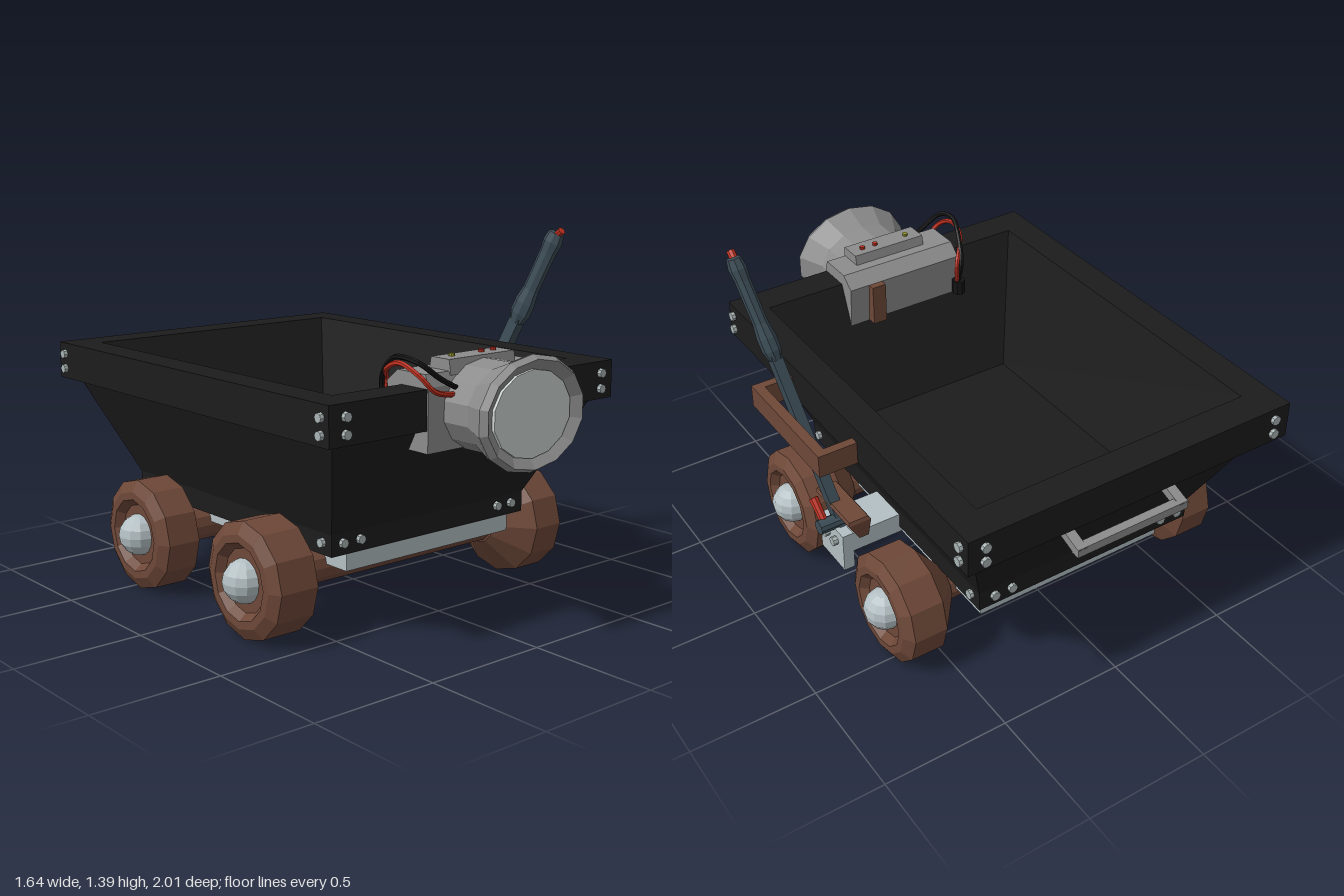
import * as THREE from 'three';

const mat = (color, side = THREE.FrontSide) =>
  new THREE.MeshStandardMaterial({ color, flatShading: true, side });
const BLACK = mat(0x1c1c1c), BROWN = mat(0x6e4838), STEEL = mat(0xb4c0c4), GREY = mat(0x8c8c8c),
  LEVER = mat(0x3c4c56), RED = mat(0xc03020), LENS = mat(0xccd4d0), GREEN = mat(0x9a9a30),
  DARK = mat(0x141414), BOLT = mat(0xaab4b4);

export function createModel() {
  const model = new THREE.Group();

  const add = (name, geo, material, x = 0, y = 0, z = 0, parent = model) => {
    const m = new THREE.Mesh(geo, material);
    m.name = name;
    m.position.set(x, y, z);
    parent.add(m);
    return m;
  };
  // box given by its limits on each axis
  const box = (name, material, x0, x1, y0, y1, z0, z1) =>
    add(name, new THREE.BoxGeometry(x1 - x0, y1 - y0, z1 - z0), material,
      (x0 + x1) / 2, (y0 + y1) / 2, (z0 + z1) / 2);
  // aligns a mesh built along y with the line a-b, starting at a
  const along = (name, geo, material, a, b) => {
    const m = add(name, geo, material, ...a);
    const dir = new THREE.Vector3(...b).sub(m.position).normalize();
    m.quaternion.setFromUnitVectors(new THREE.Vector3(0, 1, 0), dir);
    return m;
  };
  const dist = (a, b) => new THREE.Vector3(...a).distanceTo(new THREE.Vector3(...b));
  const beam = (name, material, a, b, w, d) => {
    const h = dist(a, b);
    return along(name, new THREE.BoxGeometry(w, h, d).translate(0, h / 2, 0), material, a, b);
  };
  // closed skin through rectangles [y, x0, x1, z0, z1]
  const loft = (rings) => {
    const pos = [], idx = [];
    rings.forEach(([y, x0, x1, z0, z1], i) => {
      pos.push(x0, y, z1, x1, y, z1, x1, y, z0, x0, y, z0);
      if (i === 0) return;
      for (let j = 0; j < 4; j++) {
        const k = (j + 1) % 4, a = (i - 1) * 4, b = i * 4;
        idx.push(a + j, a + k, b + k, a + j, b + k, b + j);
      }
    });
    const t = (rings.length - 1) * 4;
    idx.push(0, 3, 2, 0, 2, 1, t, t + 1, t + 2, t, t + 2, t + 3);
    const g = new THREE.BufferGeometry();
    g.setAttribute('position', new THREE.Float32BufferAttribute(pos, 3));
    g.setIndex(idx);
    const flat = g.toNonIndexed();
    flat.computeVertexNormals();
    return flat;
  };
  const lathe = (pts, sides) =>
    new THREE.LatheGeometry(pts.map((p) => new THREE.Vector2(...p)), sides);

  // hopper: outside up to the rim, then down the inside to the floor
  add('hopper', loft([
    [0.315, -0.52, 0.44, -0.74, 0.5],
    [0.395, -0.52, 0.44, -0.74, 0.5],
    [0.78, -0.68, 0.6, -0.94, 0.7],
    [0.78, -0.735, 0.655, -0.995, 0.75],
    [0.925, -0.735, 0.655, -0.995, 0.75],
    [0.925, -0.615, 0.54, -0.867, 0.62],
    [0.4, -0.457, 0.386, -0.66, 0.417],
  ]), BLACK);

  // bolts on the rim corners and along the lower edges
  const bolt = (x, y, z, axis) => {
    const g = new THREE.CylinderGeometry(0.017, 0.019, 0.03, 8);
    if (axis === 'x') g.rotateZ(Math.PI / 2); else g.rotateX(Math.PI / 2);
    add('bolt', g, BOLT, x, y, z);
  };
  for (const y of [0.82, 0.88]) {
    for (const x of [-0.665, 0.59]) for (const z of [0.75, -0.995]) bolt(x, y, z, 'z');
    for (const z of [0.71, -0.95]) for (const x of [-0.735, 0.655]) bolt(x, y, z, 'x');
  }
  for (const x of [-0.47, -0.39, 0.3, 0.375]) for (const z of [0.5, -0.74]) bolt(x, 0.36, z, 'z');
  for (const z of [0.45, -0.69]) for (const x of [-0.52, 0.44]) bolt(x, 0.36, z, 'x');

  // chassis frame with a sunken panel and hatch
  box('chassisSide', STEEL, -0.42, -0.35, 0.235, 0.316, -0.69, 0.46);
  box('chassisSide', STEEL, 0.33, 0.4, 0.235, 0.316, -0.69, 0.46);
  box('chassisFront', STEEL, -0.35, 0.33, 0.235, 0.316, 0.39, 0.46);
  box('chassisBack', STEEL, -0.35, 0.33, 0.235, 0.316, -0.69, -0.62);
  box('chassisPanel', STEEL, -0.35, 0.33, 0.265, 0.31, -0.62, 0.39);
  box('chassisHatch', STEEL, -0.26, 0.24, 0.25, 0.27, -0.34, 0.16);

  // axles, wheels and hubs
  const wheel = (side, inner, full, shoulder, outer, z) => {
    const g = new THREE.Group();
    g.name = side > 0 ? 'leftWheel' : 'rightWheel';
    g.position.set(0, 0.222, z);
    if (side < 0) g.rotation.y = Math.PI;
    model.add(g);
    const tyre = lathe([[0, inner], [0.08, inner], [0.22, full], [0.22, shoulder], [0.175, outer],
      [0.145, outer], [0.12, outer - 0.03], [0, outer - 0.03]], 12);
    add('tyre', tyre.rotateZ(-Math.PI / 2), BROWN, 0, 0, 0, g);
    add('hubCap', new THREE.SphereGeometry(0.082, 12, 8), STEEL, outer - 0.028, 0, 0, g);
  };
  [[0.28, 0.025], [-0.455, 0]].forEach(([z, extra]) => {
    add('axle', new THREE.CylinderGeometry(0.072, 0.072, 1.0, 12).rotateZ(Math.PI / 2),
      BROWN, -0.045, 0.222, z);
    wheel(1, 0.425, 0.535, 0.67, 0.697, z);
    wheel(-1, 0.52, 0.58, 0.715 + extra, 0.74 + extra, z);
  });

  // headlamp: oval shell and lens
  const shell = lathe([[0, 0.69], [0.8, 0.69], [0.8, 0.87], [0.99, 0.965], [1, 0.975],
    [0.93, 1], [0.74, 0.97], [0, 0.965]], 14);
  add('lampShell', shell.rotateX(Math.PI / 2).scale(0.257, 0.206, 1), GREY, -0.03, 0.84, 0);
  add('lampLens', new THREE.CylinderGeometry(0.76, 0.76, 0.02, 14).rotateX(Math.PI / 2)
    .scale(0.25, 0.204, 1), LENS, -0.03, 0.84, 0.972);

  // lamp housing over the front rim, with switch panel and latch
  add('lampHousing', loft([
    [0.7, -0.305, 0.21, 0.56, 0.755],
    [0.93, -0.305, 0.21, 0.545, 0.757],
    [0.975, -0.305, 0.21, 0.6, 0.74],
  ]), GREY);
  add('switchPanel', loft([
    [0.96, -0.195, 0.125, 0.64, 0.75],
    [1.015, -0.195, 0.125, 0.65, 0.74],
  ]), GREY);
  [[-0.135, GREEN], [0.01, RED], [0.07, RED]].forEach(([x, m]) =>
    add('switchButton', new THREE.CylinderGeometry(0.011, 0.011, 0.014, 8), m, x, 1.018, 0.69));
  box('housingLatch', BROWN, 0.065, 0.125, 0.76, 0.93, 0.515, 0.57);

  // lamp cables
  [[DARK, 0], [RED, 0.022]].forEach(([m, d]) => {
    const path = new THREE.CatmullRomCurve3([
      [-0.29, 0.8, 0.53], [-0.3 + d, 0.92, 0.51], [-0.34 - d / 2, 1.01 - d, 0.6],
      [-0.365, 1.035 - d, 0.68], [-0.35, 1.02 - 2 * d, 0.76], [-0.28 - d, 0.965 - 2 * d, 0.785],
      [-0.19, 0.92 - d, 0.78],
    ].map((p) => new THREE.Vector3(...p)));
    add('lampCable', new THREE.TubeGeometry(path, 28, 0.01, 6), m);
  });
  add('cablePlug', new THREE.CylinderGeometry(0.028, 0.028, 0.06, 8), DARK, -0.295, 0.8, 0.525);

  // pull handle on the back
  for (const x of [-0.27, 0.18])
    beam('handleArm', GREY, [x, 0.69, -0.86], [x, 0.648, -0.985], 0.04, 0.035);
  beam('handleBar', GREY, [-0.29, 0.652, -0.972], [0.2, 0.652, -0.972], 0.035, 0.036);

  // guide loop around the lever
  box('guideBar', BROWN, 0.77, 0.81, 0.78, 0.87, -0.278, 0.245);
  for (const z of [-0.278, 0.21]) box('guideArm', BROWN, 0.64, 0.78, 0.78, 0.87, z, z + 0.035);

  // lever bracket
  box('bracketArm', STEEL, 0.38, 0.66, 0.29, 0.375, -0.185, -0.015);
  box('bracketPlate', STEEL, 0.645, 0.69, 0.215, 0.38, -0.188, -0.01);
  for (const z of [-0.07, -0.135]) bolt(0.695, 0.33, z, 'x');
  add('leverBlock', loft([
    [0.365, 0.59, 0.63, -0.21, 0.0],
    [0.46, 0.59, 0.685, -0.235, 0.025],
    [0.475, 0.6, 0.68, -0.23, 0.02],
  ]), BROWN);
  add('pivotPin', new THREE.CylinderGeometry(0.029, 0.029, 0.11, 10).rotateZ(Math.PI / 2),
    LEVER, 0.69, 0.392, -0.102);
  const pedal = new THREE.CylinderGeometry(0.019, 0.016, 0.11, 8).translate(0, 0.055, 0);
  along('releaseLever', pedal, RED, [0.715, 0.395, -0.1], [0.722, 0.475, -0.03]);

  // brake lever: shaft, shaped grip, button
  const base = [0.65, 0.37, -0.11], neck = [0.736, 1.02, 0.182], tip = [0.791, 1.37, 0.33];
  beam('leverShaft', LEVER, base, neck, 0.042, 0.052);
  const grip = lathe([[0, -0.02], [0.034, -0.02], [0.047, 0.02], [0.047, 0.07], [0.037, 0.13],
    [0.038, 0.3], [0.044, 0.345], [0.036, 0.385], [0, 0.388]], 8);
  along('leverGrip', grip.rotateY(Math.PI / 8).scale(0.75, 1, 1), LEVER, neck, tip);
  add('leverButton', new THREE.CylinderGeometry(0.016, 0.016, 0.04, 8).rotateX(0.9),
    RED, 0.785, 1.37, 0.347);

  return model;
}
